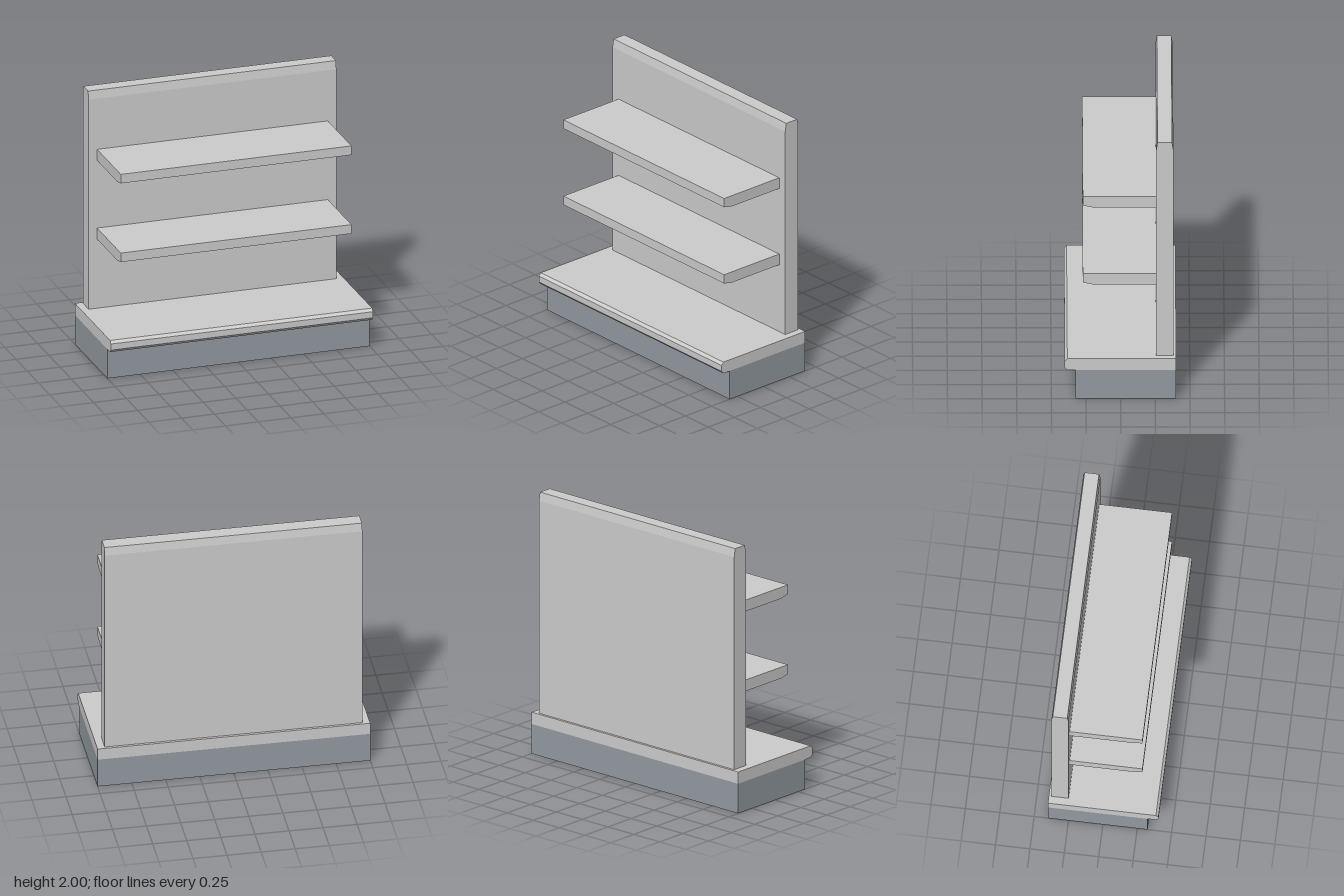
import * as THREE from 'three';

// Sweeps a side profile of [z, y] points (counter-clockwise) across the width.
function profilePart(name, points, width, color = 0xcccccc) {
  const shape = new THREE.Shape(points.map(([z, y]) => new THREE.Vector2(z, y)));
  const geometry = new THREE.ExtrudeGeometry(shape, { depth: width, bevelEnabled: false });
  geometry.rotateY(-Math.PI / 2).translate(width / 2, 0, 0);
  const mesh = new THREE.Mesh(geometry, new THREE.MeshStandardMaterial({ color, flatShading: true }));
  mesh.name = name;
  return mesh;
}

export function createModel() {
  const group = new THREE.Group();
  group.name = 'shelfUnit';

  // Darker plinth, set back under the deck
  group.add(profilePart('plinth', [[-0.4, 0], [0.325, 0], [0.325, 0.226], [-0.4, 0.226]], 2, 0x9299a0));

  // Bottom deck with a chamfered front lip
  group.add(profilePart('deck', [
    [-0.4, 0.226], [0.385, 0.226], [0.404, 0.248], [0.404, 0.295], [0.385, 0.316], [-0.4, 0.316],
  ], 2));

  // Back panel, chamfered front and back along its top
  group.add(profilePart('backPanel', [
    [-0.381, 0.316], [-0.256, 0.316], [-0.256, 1.937], [-0.266, 2], [-0.371, 2], [-0.381, 1.937],
  ], 1.89));

  // Two shelves with the lower front edge cut away
  [['lowerShelf', 0.85], ['upperShelf', 1.459]].forEach(([name, y]) => {
    group.add(profilePart(name, [
      [-0.256, y], [0.2, y], [0.273, y + 0.016], [0.273, y + 0.086], [-0.256, y + 0.086],
    ], 1.76));
  });

  return group;
}
